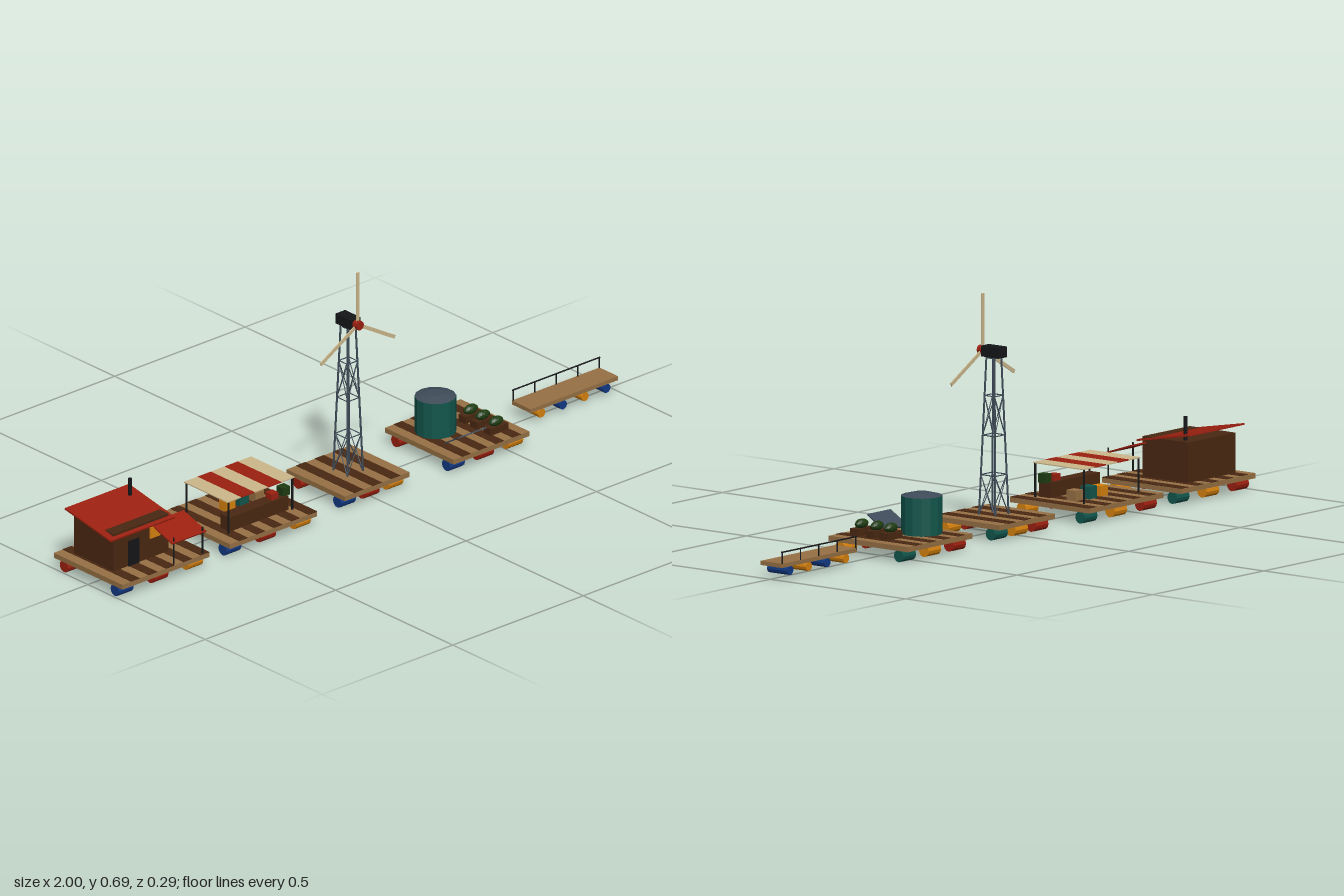
import * as THREE from 'three';

const mat = (name, color) => {
  const m = new THREE.MeshStandardMaterial({ color, flatShading: true });
  m.name = name;
  return m;
};

export function createModel() {
  const model = new THREE.Group();
  model.name = 'floatingVillage';
  const tan = mat('tan wood', 0x967044), brown = mat('dark wood', 0x4a2812);
  const red = mat('rust red', 0x9c2010), orange = mat('orange', 0xd6820f);
  const blue = mat('blue', 0x123a85), teal = mat('teal', 0x12564c);
  const black = mat('black iron', 0x151618), slate = mat('slate steel', 0x3f4c59);
  const cream = mat('cream', 0xccb88c), green = mat('leaf green', 0x1f3d12);

  const group = (name, x = 0) => {
    const g = new THREE.Group();
    g.name = name;
    g.position.x = x;
    model.add(g);
    return g;
  };
  const add = (parent, name, geo, m, x, y, z) => {
    const mesh = new THREE.Mesh(geo, m);
    mesh.name = name;
    mesh.position.set(x, y, z);
    parent.add(mesh);
    return mesh;
  };
  const box = (p, name, m, w, h, d, x, y, z) => add(p, name, new THREE.BoxGeometry(w, h, d), m, x, y, z);
  const cyl = (p, name, m, r, h, x, y, z, n = 12) => add(p, name, new THREE.CylinderGeometry(r, r, h, n), m, x, y, z);
  // Thin rod between two points
  const rod = (p, name, m, a, b, r) => {
    const va = new THREE.Vector3(...a), vb = new THREE.Vector3(...b);
    const mid = va.clone().add(vb).multiplyScalar(0.5);
    const mesh = cyl(p, name, m, r, va.distanceTo(vb), mid.x, mid.y, mid.z, 6);
    mesh.quaternion.setFromUnitVectors(new THREE.Vector3(0, 1, 0), vb.sub(va).normalize());
    return mesh;
  };

  // Raft: deck with dark planks and two rows of floating barrels
  const DECK = 0.05;
  const raft = (name, x, w, d, planks) => {
    const g = group(name, x);
    box(g, 'deck', tan, w, 0.015, d, 0, 0.0415, 0);
    const pitch = w / planks;
    for (let i = 1; i < planks; i += 2) {
      box(g, 'darkPlank', brown, pitch, 0.002, d, -w / 2 + (i + 0.5) * pitch, 0.0492, 0);
    }
    [[blue, red, orange], [red, orange, teal]].forEach((row, r) => row.forEach((m, i) => {
      const b = cyl(g, 'barrel', m, 0.018, 0.056, (i - 1) * (w / 2 - 0.033), 0.018, (r ? -1 : 1) * (d / 2 - 0.038));
      b.rotation.z = Math.PI / 2;
    }));
    return g;
  };

  // House raft
  const house = raft('houseRaft', -0.833, 0.333, 0.293, 10);
  box(house, 'walls', brown, 0.212, 0.117, 0.168, -0.02, DECK + 0.0585, -0.021);
  box(house, 'roof', red, 0.246, 0.005, 0.2, -0.025, 0.173, -0.022).rotation.x = 0.18;
  box(house, 'door', black, 0.042, 0.078, 0.006, -0.05, DECK + 0.039, 0.064);
  box(house, 'window', orange, 0.038, 0.034, 0.006, 0.031, 0.128, 0.064);
  box(house, 'porchRoof', red, 0.13, 0.004, 0.102, 0.09, 0.134, 0.098).rotation.x = 0.32;
  for (const x of [0.035, 0.145]) cyl(house, 'porchPost', black, 0.0025, 0.083, x, DECK + 0.0415, 0.141, 8);
  cyl(house, 'chimney', black, 0.006, 0.1, 0.062, 0.187, -0.076, 8);

  // Market raft
  const market = raft('marketRaft', -0.42, 0.333, 0.293, 10);
  for (let i = 0; i < 5; i++) {
    box(market, 'canopyStripe', i % 2 ? red : cream, 0.0515, 0.003, 0.186, (i - 2) * 0.0515, 0.15, 0);
  }
  for (const x of [-0.122, 0.122]) for (const z of [-0.09, 0.09]) {
    cyl(market, 'canopyPost', black, 0.003, 0.1, x, DECK + 0.05, z, 8);
  }
  box(market, 'counter', brown, 0.225, 0.044, 0.04, 0, DECK + 0.022, 0.064);
  box(market, 'greenCrate', green, 0.028, 0.026, 0.028, 0.11, 0.106, 0.065);
  box(market, 'redCrate', red, 0.026, 0.02, 0.026, 0.067, 0.103, 0.065);
  box(market, 'tealCrate', teal, 0.034, 0.036, 0.034, 0.04, DECK + 0.018, -0.04);
  box(market, 'orangeCrate', orange, 0.034, 0.03, 0.034, -0.015, DECK + 0.015, -0.035);
  box(market, 'tanCrate', tan, 0.034, 0.03, 0.034, 0.09, DECK + 0.015, -0.03);

  // Wind turbine raft: lattice tower with four tapering legs
  const wind = raft('turbineRaft', -0.003, 0.248, 0.248, 7);
  const levels = [DECK, 0.166, 0.28, 0.395, 0.508];
  const half = (y) => 0.03 - (y - DECK) / 0.458 * 0.015;
  const corners = [[1, 1], [1, -1], [-1, -1], [-1, 1]];
  const at = ([sx, sz], y) => [sx * half(y), y, sz * half(y)];
  corners.forEach((c, i) => {
    const n = corners[(i + 1) % 4];
    rod(wind, 'towerLeg', slate, at(c, DECK), at(c, 0.508), 0.003);
    for (const y of levels.slice(1, 4)) rod(wind, 'towerRing', slate, at(c, y), at(n, y), 0.0016);
    for (const k of [0, 2]) {
      rod(wind, 'towerBrace', slate, at(c, levels[k]), at(n, levels[k + 1]), 0.0014);
      rod(wind, 'towerBrace', slate, at(n, levels[k]), at(c, levels[k + 1]), 0.0014);
    }
  });
  cyl(wind, 'towerCap', slate, 0.018, 0.006, 0, 0.506, 0);
  box(wind, 'nacelle', black, 0.036, 0.031, 0.066, 0, 0.522, 0);
  cyl(wind, 'hub', red, 0.014, 0.019, 0, 0.522, 0.0425).rotation.x = Math.PI / 2;
  for (let i = 0; i < 3; i++) {
    const a = i * Math.PI * 2 / 3;
    const blade = box(wind, 'blade', cream, 0.011, 0.155, 0.003, -Math.sin(a) * 0.0865, 0.522 + Math.cos(a) * 0.0865, 0.041);
    blade.rotation.z = a;
  }

  // Water and garden raft
  const garden = raft('gardenRaft', 0.415, 0.29, 0.293, 9);
  cyl(garden, 'waterTank', teal, 0.06, 0.11, -0.052, DECK + 0.055, -0.035, 14);
  add(garden, 'tankLid', new THREE.CylinderGeometry(0.025, 0.06, 0.009, 14), slate, -0.052, 0.1645, -0.035);
  box(garden, 'solarPanel', slate, 0.104, 0.004, 0.074, -0.046, 0.075, 0.087).rotation.x = -0.56;
  for (const z of [0.083, 0.026, -0.025]) {
    box(garden, 'planter', brown, 0.068, 0.021, 0.03, 0.074, DECK + 0.0105, z);
    const bush = add(garden, 'bush', new THREE.IcosahedronGeometry(0.0145, 1), green, 0.074, 0.082, z);
    bush.scale.x = 1.8;
  }

  // Footbridge with floats and a railing along the back
  const bridge = group('footbridge', 0.83);
  box(bridge, 'walkway', tan, 0.336, 0.012, 0.08, 0, 0.043, -0.002);
  for (let i = 0; i < 4; i++) {
    const f = cyl(bridge, 'float', i % 2 ? blue : orange, 0.0138, 0.075, (i - 1.5) * 0.0833, 0.0238, 0);
    f.rotation.x = Math.PI / 2;
  }
  for (let i = 0; i < 5; i++) cyl(bridge, 'railPost', black, 0.0022, 0.04, (i - 2) * 0.0825, 0.063, -0.04, 6);
  rod(bridge, 'handrail', black, [-0.168, 0.082, -0.04], [0.168, 0.082, -0.04], 0.0022);

  return model;
}
